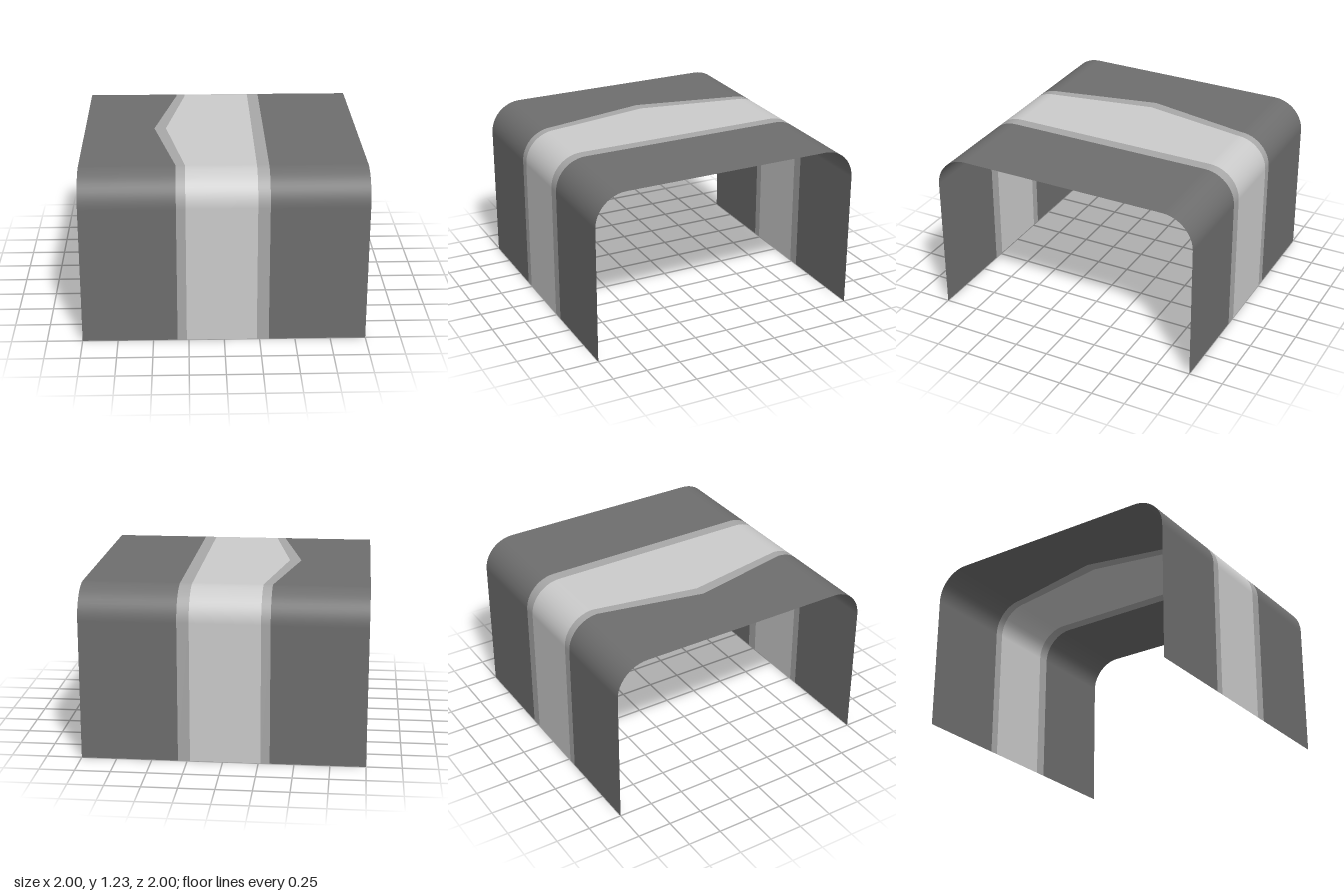
import * as THREE from 'three';

const HALF = 1, HEIGHT = 1.23, RADIUS = 0.23, STEPS = 12;

// Side profile of the bent sheet: front foot, over the top, back foot
function makeProfile() {
  const points = [{ z: HALF, y: 0, nz: 1, ny: 0 }];
  const corner = (side, from, to) => {
    for (let i = 0; i <= STEPS; i++) {
      const a = from + (to - from) * i / STEPS;
      const nz = Math.cos(a), ny = Math.sin(a);
      points.push({
        z: side * (HALF - RADIUS) + RADIUS * nz,
        y: HEIGHT - RADIUS + RADIUS * ny, nz, ny
      });
    }
  };
  corner(1, 0, Math.PI / 2);
  points.push({ z: 0, y: HEIGHT, nz: 0, ny: 1 });
  corner(-1, Math.PI / 2, Math.PI);
  points.push({ z: -HALF, y: 0, nz: -1, ny: 0 });
  return points;
}

// Seam running along the sheet; it can bulge sideways to a point mid-top
const seam = (x, peak = x) => z =>
  x + (peak - x) * Math.max(0, 1 - Math.abs(z) / (HALF - RADIUS));

// One colour band of the sheet between two seams
function band(name, profile, leftEdge, rightEdge, color) {
  const positions = [], normals = [], index = [];
  profile.forEach((p, i) => {
    for (const edge of [leftEdge, rightEdge]) {
      positions.push(edge(p.z), p.y, p.z);
      normals.push(0, p.ny, p.nz);
    }
    if (i > 0) {
      const a = 2 * (i - 1);
      index.push(a, a + 1, a + 3, a, a + 3, a + 2);
    }
  });
  const geometry = new THREE.BufferGeometry();
  geometry.setAttribute('position', new THREE.Float32BufferAttribute(positions, 3));
  geometry.setAttribute('normal', new THREE.Float32BufferAttribute(normals, 3));
  geometry.setIndex(index);
  const mesh = new THREE.Mesh(geometry,
    new THREE.MeshStandardMaterial({ color, side: THREE.DoubleSide }));
  mesh.name = name;
  return mesh;
}

export function createModel() {
  const group = new THREE.Group();
  group.name = 'bentSheet';
  const profile = makeProfile();
  const seams = [
    seam(-1), seam(-0.33, -0.49), seam(-0.265, -0.405),
    seam(0.23), seam(0.315), seam(1)
  ];
  const bands = [
    ['rightPanel', 0x6e6e6e], ['rightBorder', 0xa8a8a8], ['centreStripe', 0xcccccc],
    ['leftBorder', 0xa8a8a8], ['leftPanel', 0x6e6e6e]
  ];
  bands.forEach(([name, color], i) =>
    group.add(band(name, profile, seams[i], seams[i + 1], color)));
  return group;
}
